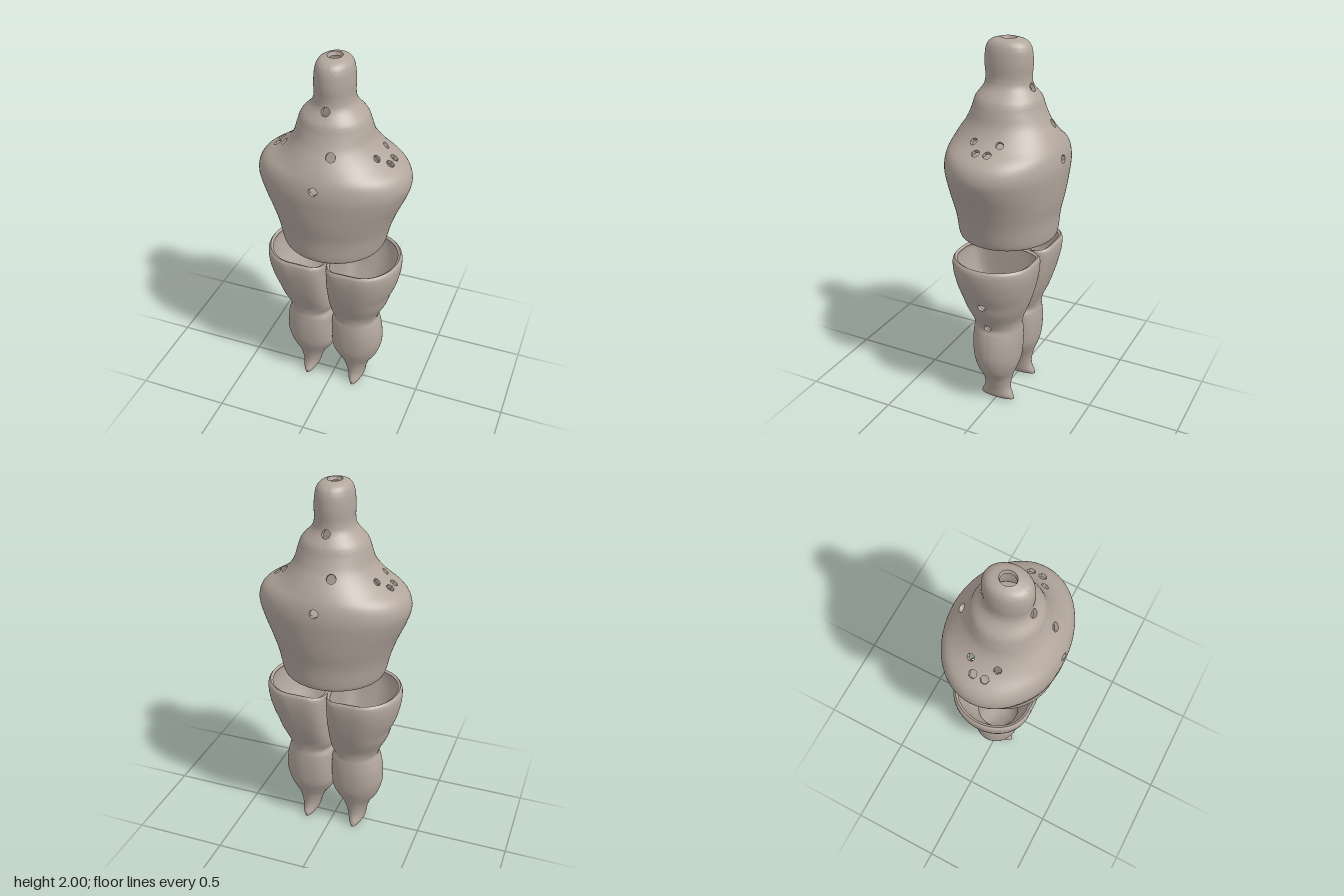
import * as THREE from 'three';
import { toCreasedNormals } from 'three/addons/utils/BufferGeometryUtils.js';

const clay = new THREE.MeshStandardMaterial({ color: 0xb3a79d, side: THREE.DoubleSide });

// Thick-walled pot: surface(u, v) gives the outer skin, u around and v upward (0..1).
// holes are [x, y, z, radius]; each pierces the wall at the nearest point of the skin.
function shell(surface, nu, nv, thickness, holes) {
  const outer = [], normal = [];
  const at = (i, j) => j * nu + ((i + nu) % nu);
  for (let j = 0; j <= nv; j++)
    for (let i = 0; i < nu; i++) outer.push(surface(i / nu, j / nv));
  for (let j = 0; j <= nv; j++)
    for (let i = 0; i < nu; i++) {
      const du = outer[at(i + 1, j)].clone().sub(outer[at(i - 1, j)]);
      const dv = outer[at(i, Math.min(j + 1, nv))].clone().sub(outer[at(i, Math.max(j - 1, 0))]);
      normal.push(dv.cross(du).normalize());
    }

  // Move each hole centre onto the skin
  const pierced = holes.map(([x, y, z, r]) => {
    const p = new THREE.Vector3(x, y, z);
    const c = outer.reduce((a, b) => (b.distanceToSquared(p) < a.distanceToSquared(p) ? b : a));
    return { c: c.clone(), r };
  });

  // Drop the cells inside a hole and round off its rim
  const corners = (i, j) => [at(i, j), at(i, j + 1), at(i + 1, j + 1), at(i + 1, j)];
  const open = new Set(), rim = new Map();
  for (let j = 0; j < nv; j++)
    for (let i = 0; i < nu; i++) {
      const q = corners(i, j);
      const mid = new THREE.Vector3();
      q.forEach(k => mid.addScaledVector(outer[k], 0.25));
      const hole = pierced.find(h => h.c.distanceTo(mid) < h.r);
      if (!hole) continue;
      open.add(at(i, j));
      q.forEach(k => rim.set(k, hole));
    }
  rim.forEach((h, k) => outer[k].sub(h.c).setLength(h.r).add(h.c));
  const inner = outer.map((p, k) => p.clone().addScaledVector(normal[k], -thickness));

  const pos = [];
  const quad = (a, b, c, d) => [a, b, c, a, c, d].forEach(p => pos.push(p.x, p.y, p.z));
  const closed = (i, j) => j >= 0 && j < nv && !open.has(at(i, j));
  for (let j = 0; j < nv; j++)
    for (let i = 0; i < nu; i++) {
      if (!closed(i, j)) continue;
      const q = corners(i, j);
      quad(...q.map(k => outer[k]));
      quad(...q.map(k => inner[k]).reverse());
      // Wall thickness shown along every free edge
      [[i - 1, j], [i, j + 1], [i + 1, j], [i, j - 1]].forEach(([m, n], e) => {
        if (closed(m, n)) return;
        const a = q[e], b = q[(e + 1) % 4];
        quad(outer[b], outer[a], inner[a], inner[b]);
      });
    }
  const geo = new THREE.BufferGeometry();
  geo.setAttribute('position', new THREE.Float32BufferAttribute(pos, 3));
  return toCreasedNormals(geo, 0.7);
}

const spline = rows =>
  new THREE.CatmullRomCurve3(rows.map(r => new THREE.Vector3(...r)), false, 'catmullrom', 0.5);

// Torso, shoulders and head: rows of [half width, y, half depth]
function torsoGeometry() {
  const rows = [
    [0.25, 0.97, 0.24], [0.272, 0.99, 0.258], [0.3, 1.1, 0.268], [0.335, 1.2, 0.288],
    [0.378, 1.3, 0.3], [0.398, 1.38, 0.305], [0.37, 1.45, 0.295], [0.285, 1.505, 0.272],
    [0.235, 1.55, 0.245], [0.203, 1.6, 0.212], [0.185, 1.66, 0.185], [0.165, 1.71, 0.168],
    [0.115, 1.765, 0.128], [0.1, 1.81, 0.12], [0.1, 1.88, 0.125], [0.092, 1.95, 0.118],
    [0.073, 1.985, 0.092], [0.037, 2.0, 0.042],
  ];
  const profile = spline(rows);
  const surface = (u, v) => {
    const p = profile.getPoint(v), t = u * Math.PI * 2;
    return new THREE.Vector3(p.x * Math.cos(t), p.y, p.z * Math.sin(t));
  };
  const holes = [];
  for (const s of [1, -1]) {
    holes.push([0, 1.42, 0.3 * s, 0.023], [0.062 * s, 1.58, 0.212 * s, 0.024], [0, 1.76, 0.13 * s, 0.022]);
    for (const z of [0.033, -0.033]) // pairs on each shoulder
      holes.push([0.29 * s, 1.495, z, 0.022], [0.238 * s, 1.53, z * 2.1, 0.02]);
  }
  return shell(surface, 112, (rows.length - 1) * 5, 0.02, holes);
}

// One leg: rows of [outer x, y, half depth, inner x, squareness of the inner side]
function legGeometry() {
  const rows = [
    [0.168, 0.005, 0.1, 0.112, 2], [0.182, 0.025, 0.094, 0.098, 2], [0.187, 0.06, 0.078, 0.088, 2],
    [0.197, 0.1, 0.076, 0.075, 2], [0.215, 0.15, 0.086, 0.052, 2], [0.248, 0.2, 0.104, 0.016, 2],
    [0.268, 0.25, 0.12, -0.002, 2.3], [0.28, 0.31, 0.128, -0.003, 2.6], [0.276, 0.39, 0.132, -0.003, 2.6],
    [0.263, 0.45, 0.13, -0.002, 2.4], [0.252, 0.485, 0.128, 0.011, 2.3], [0.268, 0.53, 0.135, -0.002, 2.8],
    [0.302, 0.6, 0.162, -0.003, 3.6], [0.32, 0.66, 0.182, -0.003, 4], [0.347, 0.73, 0.2, -0.003, 4.5],
    [0.365, 0.81, 0.216, -0.003, 4.5], [0.367, 0.87, 0.219, -0.003, 4.5], [0.355, 0.892, 0.21, -0.003, 4],
  ];
  const outerSide = spline(rows.map(r => [r[0], r[1], r[2]]));
  const innerSide = spline(rows.map(r => [r[3], r[1], r[4]]));
  const surface = (u, v) => {
    const a = outerSide.getPoint(v), b = innerSide.getPoint(v), t = u * Math.PI * 2;
    const c = Math.cos(t), s = Math.sin(t);
    // Rounded outside, flatter towards the other leg
    const e = 2 / (c < 0 ? b.z : 2);
    const x = (a.x + b.x) / 2 + (a.x - b.x) / 2 * Math.sign(c) * Math.abs(c) ** e;
    const z = a.z * Math.sign(s) * Math.abs(s) ** e;
    // The top rim dips a little at the middle
    const dip = 0.014 * Math.exp(-((x / 0.07) ** 2)) * v ** 6;
    return new THREE.Vector3(x, a.y - dip, z);
  };
  const holes = [[0.318, 0.655, 0, 0.022], [0.258, 0.505, 0, 0.02], [0, 0.655, 0, 0.022]];
  return shell(surface, 88, (rows.length - 1) * 5, 0.016, holes);
}

export function createModel() {
  const model = new THREE.Group();
  model.name = 'hollowFigure';

  const torso = new THREE.Mesh(torsoGeometry(), clay);
  torso.name = 'torsoAndHead';
  model.add(torso);

  const leftLeg = new THREE.Mesh(legGeometry(), clay);
  leftLeg.name = 'leftLeg';
  const rightLeg = leftLeg.clone();
  rightLeg.name = 'rightLeg';
  rightLeg.rotation.y = Math.PI;
  model.add(leftLeg, rightLeg);
  return model;
}
